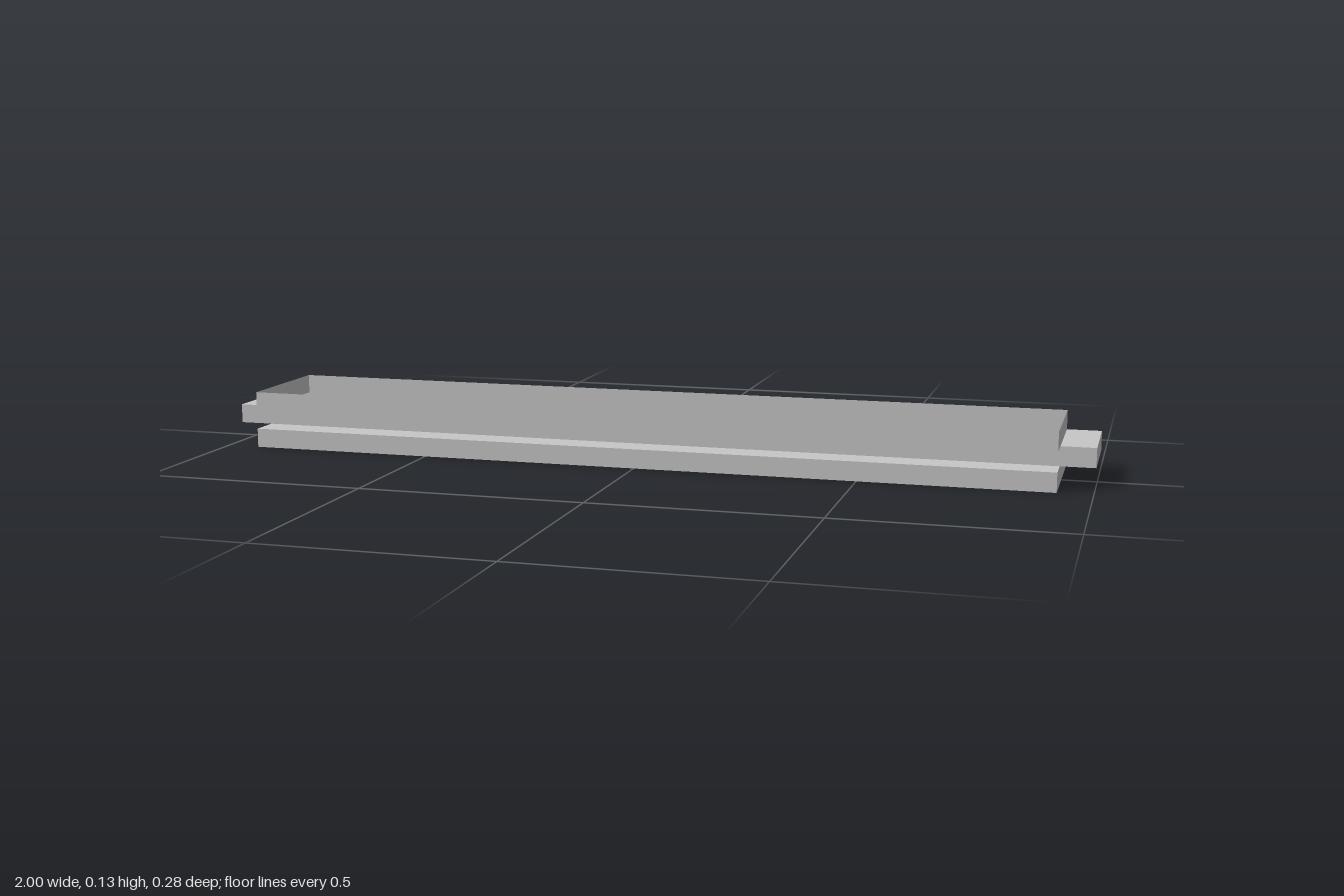
import * as THREE from 'three';

export function createModel() {
  const model = new THREE.Group();
  model.name = 'openTray';

  const grey = new THREE.MeshStandardMaterial({ color: 0xc7c7c7, side: THREE.DoubleSide });
  grey.name = 'light grey';

  const layer = 0.0435;             // height of each of the three layers
  const back = -0.138;
  const wide = { x: 0.924, front: 0.138 };   // top and bottom layers
  const tongue = { x: 1, front: 0.069 };     // middle layer, set back and longer

  // Thin sheet with its centre, size and turn
  function sheet(name, w, h, x, y, z, rx, ry) {
    const mesh = new THREE.Mesh(new THREE.PlaneGeometry(w, h), grey);
    mesh.name = name;
    mesh.position.set(x, y, z);
    mesh.rotation.set(rx, ry, 0);
    model.add(mesh);
  }

  // Level sheet facing up or down
  function level(name, x0, x1, z0, z1, y, up) {
    sheet(name, x1 - x0, z1 - z0, (x0 + x1) / 2, y, (z0 + z1) / 2, up ? -Math.PI / 2 : Math.PI / 2, 0);
  }

  // Four upright walls around one layer
  function walls(name, { x, front }, y0) {
    const y = y0 + layer / 2, depth = front - back, mid = (front + back) / 2;
    sheet(name + 'Front', 2 * x, layer, 0, y, front, 0, 0);
    sheet(name + 'Back', 2 * x, layer, 0, y, back, 0, Math.PI);
    for (const s of [-1, 1]) {
      sheet(name + (s > 0 ? 'LeftEnd' : 'RightEnd'), depth, layer, s * x, y, mid, 0, s * Math.PI / 2);
    }
  }

  walls('lowerWall', wide, 0);
  walls('tongueWall', tongue, layer);
  walls('upperWall', wide, 2 * layer);

  // Floor; the tray is hollow and open at the top
  level('floor', -wide.x, wide.x, back, wide.front, 0, false);

  // Ledges joining the layers: front groove and projecting end tongues
  for (const [y, lower] of [[layer, true], [2 * layer, false]]) {
    level(lower ? 'grooveFloor' : 'grooveCeiling', -wide.x, wide.x, tongue.front, wide.front, y, lower);
    level(lower ? 'leftTongueBottom' : 'leftTongueTop', wide.x, tongue.x, back, tongue.front, y, !lower);
    level(lower ? 'rightTongueBottom' : 'rightTongueTop', -tongue.x, -wide.x, back, tongue.front, y, !lower);
  }

  return model;
}
